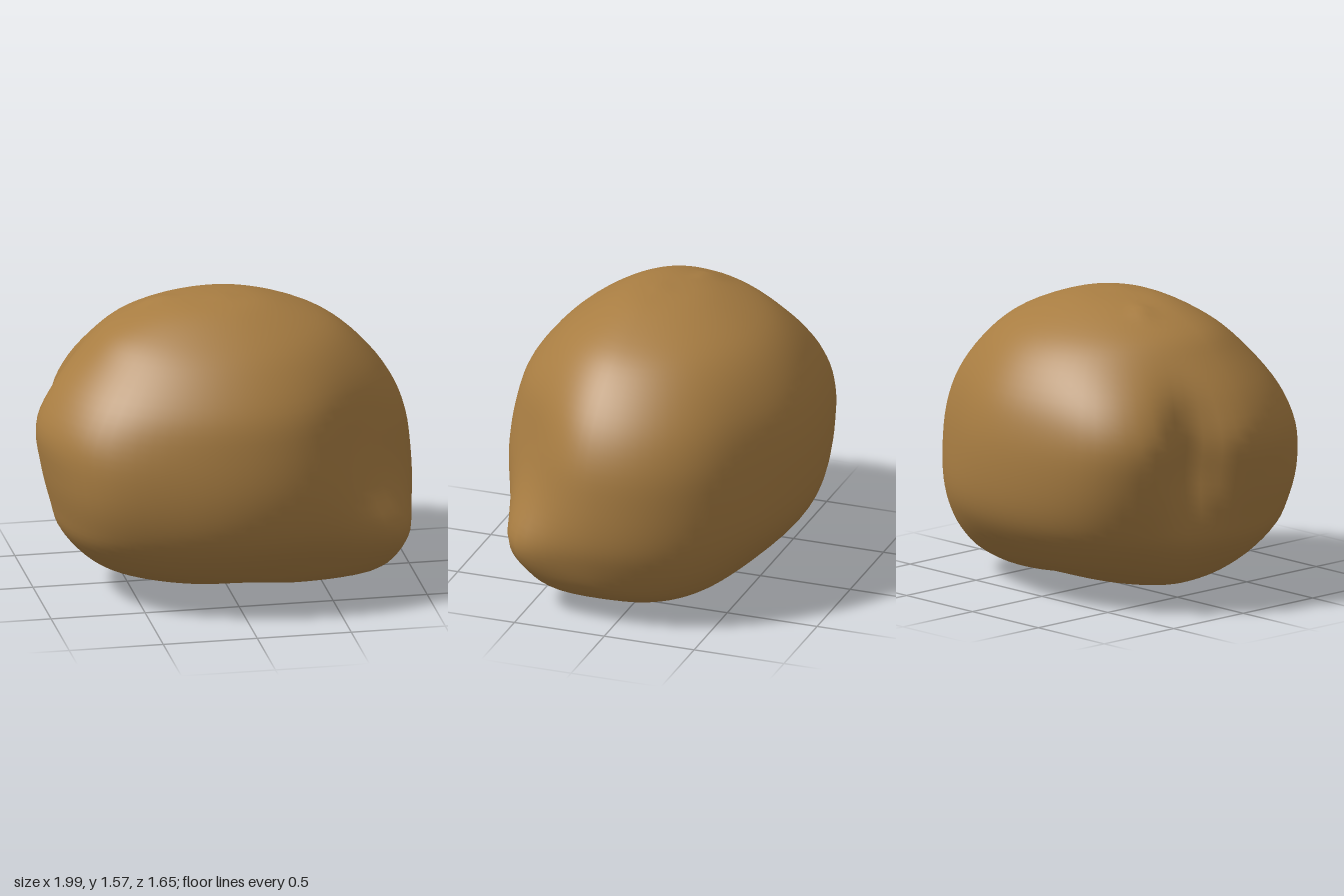
import * as THREE from 'three';
import { mergeVertices } from 'three/addons/utils/BufferGeometryUtils.js';

// Cross-sections from top to bottom: height, x range, z range
const LEVELS = [
  [1.57, 0.0, 0.0, 0.06, 0.06],
  [1.54, -0.3, 0.25, -0.2, 0.24],
  [1.44, -0.57, 0.53, -0.45, 0.43],
  [1.31, -0.73, 0.71, -0.62, 0.59],
  [1.12, -0.9, 0.87, -0.75, 0.735],
  [0.92, -0.995, 0.96, -0.81, 0.8],
  [0.7, -0.97, 0.99, -0.82, 0.83],
  [0.5, -0.92, 0.99, -0.79, 0.81],
  [0.35, -0.87, 0.95, -0.71, 0.74],
  [0.2, -0.74, 0.87, -0.56, 0.6],
  [0.11, -0.6, 0.75, -0.4, 0.47],
  [0.06, -0.4, 0.64, -0.26, 0.33],
  [0.035, 0.05, 0.53, -0.17, 0.1],
  [0.0, 0.32, 0.32, -0.02, -0.02],
];

// Local swellings and hollows: centre, spread on each axis, push
const FEATURES = [
  { at: [0.76, 0.34, 0.5], spread: [0.17, 0.16, 0.17], push: [0.115, -0.01, 0.085] },   // blunt nose
  { at: [0.7, 0.9, 0.56], spread: [0.24, 0.26, 0.24], push: [-0.05, 0, -0.05] },        // flattened cheek
  { at: [0.66, 0.17, 0.3], spread: [0.15, 0.1, 0.17], push: [0.04, -0.03, 0.03] },      // full jaw under nose
  { at: [0.62, 0.25, -0.3], spread: [0.2, 0.14, 0.2], push: [0.03, -0.01, -0.03] },     // full lower back corner
  { at: [0.52, 0.9, -0.68], spread: [0.2, 0.3, 0.2], push: [-0.01, 0, 0.03] },          // flatter back corner
  { at: [-0.92, 0.84, -0.23], spread: [0.2, 0.25, 0.1], push: [0.14, 0, 0.02] },        // side crease
  { at: [-0.62, 0.85, -0.62], spread: [0.22, 0.35, 0.2], push: [-0.035, 0, -0.035] },   // full back lobe
  { at: [-0.74, 0.65, 0.56], spread: [0.22, 0.35, 0.22], push: [-0.03, 0, 0.05] },      // full front shoulder
  { at: [0.06, 0.05, 0.05], spread: [0.12, 0.06, 0.35], push: [0, 0.03, 0] },           // hollow beside the foot
  { at: [-0.33, 1.53, -0.1], spread: [0.03, 0.05, 0.04], push: [-0.01, 0.02, 0] },      // small nub on top
];

function applyFeatures(p) {
  const start = p.clone();
  for (const { at, spread, push } of FEATURES) {
    const d2 = ((start.x - at[0]) / spread[0]) ** 2
      + ((start.y - at[1]) / spread[1]) ** 2
      + ((start.z - at[2]) / spread[2]) ** 2;
    const w = Math.exp(-d2 / 2);
    p.x += push[0] * w;
    p.y += push[1] * w;
    p.z += push[2] * w;
  }
  return p;
}

// Reshape a sphere row by row to follow the cross-sections
function lumpGeometry(columns = 72, rows = 56) {
  const curve = (a, b) => new THREE.CatmullRomCurve3(
    LEVELS.map((l) => new THREE.Vector3(l[a], l[0], l[b])), false, 'catmullrom', 0.5);
  const xCurve = curve(1, 2);
  const zCurve = curve(3, 4);
  const geometry = new THREE.SphereGeometry(1, columns, rows);
  const pos = geometry.attributes.position;
  const p = new THREE.Vector3();
  for (let row = 0; row <= rows; row++) {
    const xr = xCurve.getPoint(row / rows);
    const zr = zCurve.getPoint(row / rows);
    // The middle drifts towards the foot near the ground
    const low = 1 - THREE.MathUtils.smoothstep(xr.y, 0, 0.25);
    const cx = THREE.MathUtils.clamp(0.32 * low, xr.x, xr.z);
    const cz = THREE.MathUtils.clamp(0.06 - 0.08 * low, zr.x, zr.z);
    for (let col = 0; col <= columns; col++) {
      const a = ((col % columns) / columns) * Math.PI * 2;
      const u = -Math.cos(a);
      const v = Math.sin(a);
      p.set(
        cx + u * (u > 0 ? xr.z - cx : cx - xr.x),
        xr.y,
        cz + v * (v > 0 ? zr.z - cz : cz - zr.x));
      applyFeatures(p);
      pos.setXYZ(row * (columns + 1) + col, p.x, Math.max(0, p.y), p.z);
    }
  }
  geometry.deleteAttribute('uv');
  geometry.deleteAttribute('normal');
  const merged = mergeVertices(geometry, 1e-5);
  merged.computeVertexNormals();
  return merged;
}

export function createModel() {
  const group = new THREE.Group();
  group.name = 'lump';
  const brown = new THREE.MeshStandardMaterial({ color: 0xa87d42 });
  brown.name = 'earthy brown';
  const body = new THREE.Mesh(lumpGeometry(), brown);
  body.name = 'body';
  group.add(body);
  return group;
}
